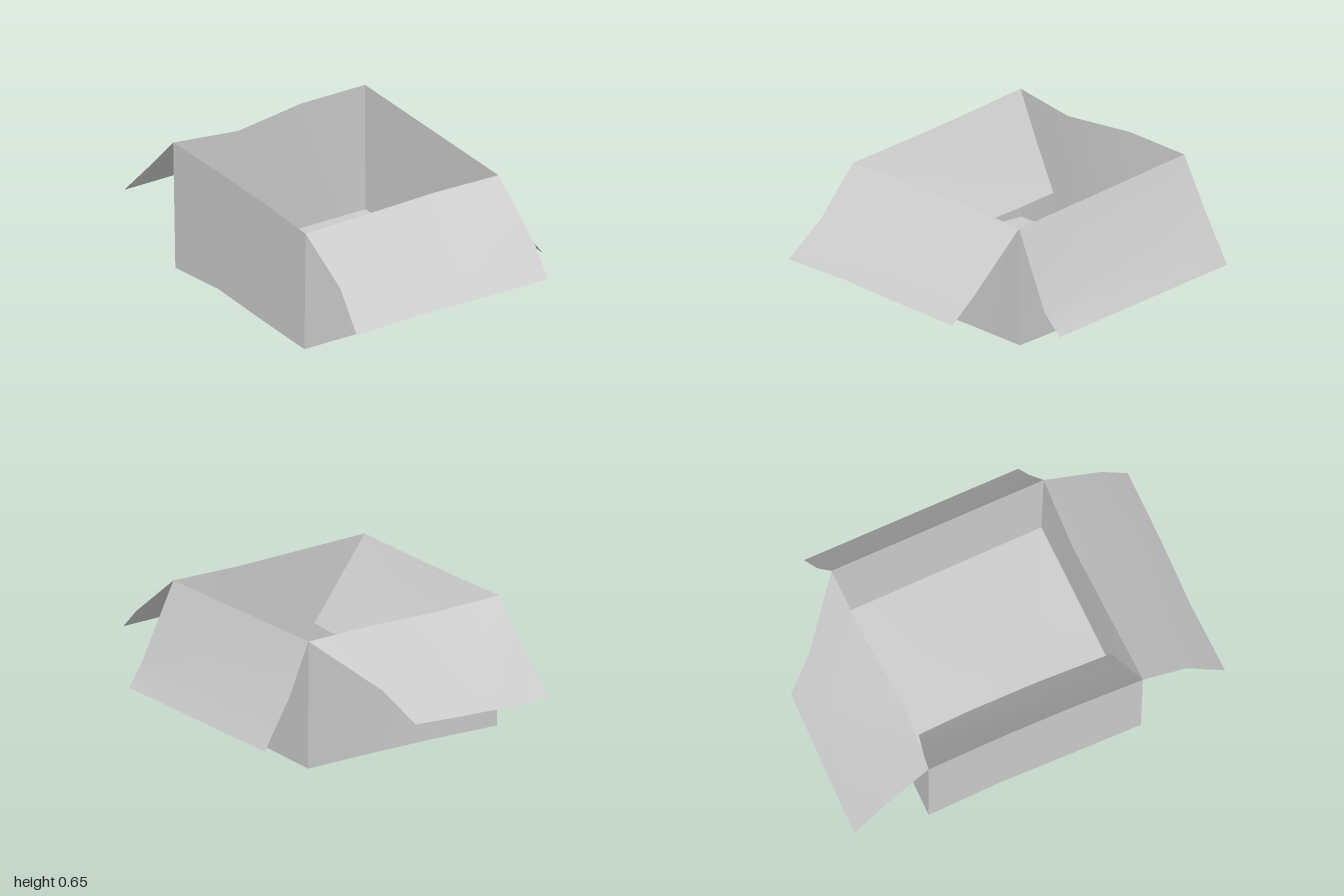
import * as THREE from 'three';

const material = new THREE.MeshStandardMaterial({ color: 0xcccccc, side: THREE.DoubleSide });

const lerp = (a, b, t) => a.map((v, i) => v + (b[i] - v) * t);
// Four evenly spaced points from a to b, with optional offsets on the inner two
const edge = (a, b, o1 = [0, 0, 0], o2 = [0, 0, 0]) => [
  a,
  lerp(a, b, 1 / 3).map((v, i) => v + o1[i]),
  lerp(a, b, 2 / 3).map((v, i) => v + o2[i]),
  b,
];

// Thin sheet skinned over rows of four points
function sheet(name, rows) {
  const index = [];
  const n = rows[0].length;
  for (let r = 0; r < rows.length - 1; r++) {
    for (let c = 0; c < n - 1; c++) {
      const a = r * n + c, b = a + n;
      index.push(a, b, a + 1, b, b + 1, a + 1);
    }
  }
  const geometry = new THREE.BufferGeometry();
  geometry.setAttribute('position', new THREE.Float32BufferAttribute(rows.flat(2), 3));
  geometry.setIndex(index);
  geometry.computeVertexNormals();
  const mesh = new THREE.Mesh(geometry, material);
  mesh.name = name;
  return mesh;
}

export function createModel() {
  const group = new THREE.Group();
  group.name = 'openCardboardBox';

  // Corners in order: left, front, right, back
  const top = [[-0.745, 0.64, -0.36], [-0.28, 0.605, 0.62], [0.69, 0.61, 0.15], [0.22, 0.645, -0.82]];
  const low = [[-0.735, 0, -0.36], [-0.285, 0.012, 0.61], [0.675, 0.015, 0.14], [0.22, 0.015, -0.81]];

  // Slightly warped rim and base edges
  const rim = [
    edge(top[0], top[1], [0.01, 0, 0], [0.01, 0, 0]),
    edge(top[1], top[2], [0, 0, -0.01], [0, 0, -0.02]),
    edge(top[2], top[3]),
    edge(top[3], top[0], [0, 0.003, 0], [0, -0.022, 0.035]),
  ];
  const base = [
    edge(low[0], low[1], [0, 0.03, 0], [0, 0.012, 0]),
    edge(low[1], low[2], [0, -0.005, 0], [0, 0.003, 0]),
    edge(low[2], low[3]),
    edge(low[3], low[0], [0, 0.005, 0], [0, 0.005, 0]),
  ];

  // Side walls
  ['leftWall', 'frontWall', 'rightWall', 'backWall'].forEach((name, i) => {
    group.add(sheet(name, [rim[i], base[i]]));
  });

  // Floor
  group.add(sheet('floor', [
    base[3],
    edge(base[2][2], base[0][1]),
    edge(base[2][1], base[0][2]),
    [...base[1]].reverse(),
  ]));

  // Flaps: rim edge, bend line, free edge; the left one is folded inwards
  group.add(sheet('leftFlap', [
    rim[0],
    edge([-0.6, 0.44, -0.385], [-0.15, 0.42, 0.545]),
    edge([-0.43, 0.24, -0.41], [-0.02, 0.235, 0.47], [-0.02, 0, -0.07], [-0.01, 0, -0.05]),
  ]));
  group.add(sheet('frontFlap', [
    rim[1],
    edge([-0.15, 0.41, 0.82], [0.82, 0.37, 0.41]),
    edge([-0.1, 0.25, 0.995], [0.86, 0.25, 0.535], [0, 0.004, -0.01], [0, 0.002, 0]),
  ]));
  group.add(sheet('rightFlap', [
    rim[2],
    edge([0.85, 0.24, 0.08], [0.32, 0.4, -0.885]),
    edge([0.915, 0.14, 0.03], [0.445, 0.165, -0.95]),
  ]));
  group.add(sheet('backFlap', [
    rim[3],
    edge([-0.11, 0.42, -0.92], [-0.82, 0.46, -0.52]),
    edge([-0.25, 0.275, -1], [-0.92, 0.25, -0.7], [0, -0.005, 0], [0, -0.005, 0]),
  ]));
  return group;
}
